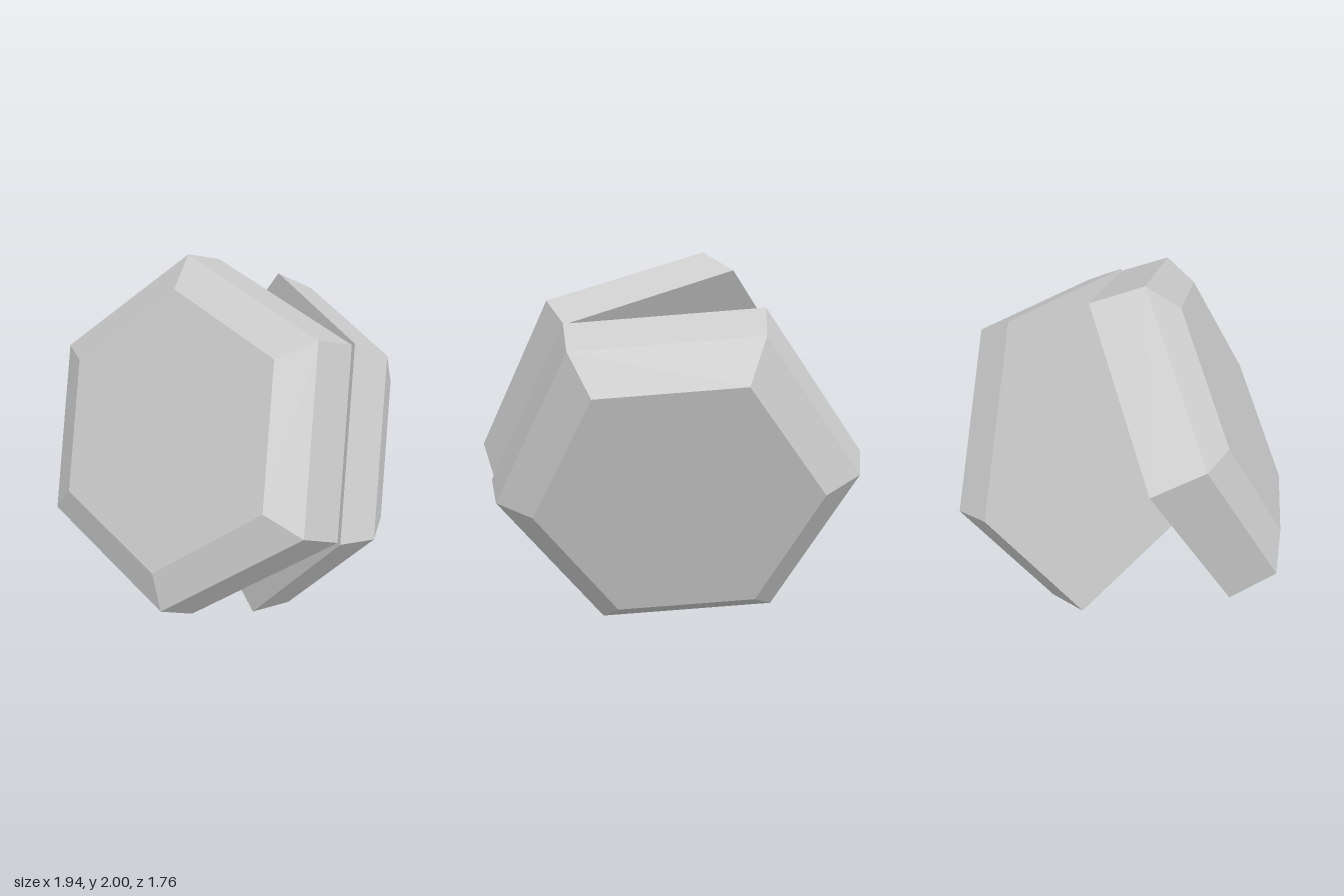
import * as THREE from 'three';

const stone = new THREE.MeshStandardMaterial({ color: 0xcccccc });
stone.name = 'light grey';

// Direction of the hinge edge, shared by both halves
const hinge = new THREE.Vector3(-0.355, 0.87, -0.3425).normalize();

// Six-sided half: flat inner face, tapered rim, bevelled outer face.
// rings: [radius, distance from the inner face]
function hexHalf(name, centre, axis, rings) {
  const profile = [[0, 0], ...rings, [0, rings[rings.length - 1][1]]]
    .map(([r, h]) => new THREE.Vector2(r, h));
  const geometry = new THREE.LatheGeometry(profile, 6).toNonIndexed();
  geometry.computeVertexNormals(); // flat facets

  const mesh = new THREE.Mesh(geometry, stone);
  mesh.name = name;
  const y = new THREE.Vector3(...axis).normalize();
  const x = y.clone().cross(hinge).normalize();
  const z = x.clone().cross(y);
  mesh.quaternion.setFromRotationMatrix(new THREE.Matrix4().makeBasis(x, y, z));
  mesh.position.set(...centre);
  return mesh;
}

export function createModel() {
  const group = new THREE.Group();
  group.name = 'hinged hexagonal shell';
  group.add(
    hexHalf('frontHalf', [-0.005, 1.06, 0.17], [0.254, 0.44, 0.861],
      [[0.985, 0], [0.943, 0.279], [0.737, 0.375]]),
    hexHalf('backHalf', [-0.01, 0.89, -0.255], [0.235, -0.2715, -0.9335],
      [[1.0, 0], [0.945, 0.233], [0.738, 0.396]]),
  );
  return group;
}
